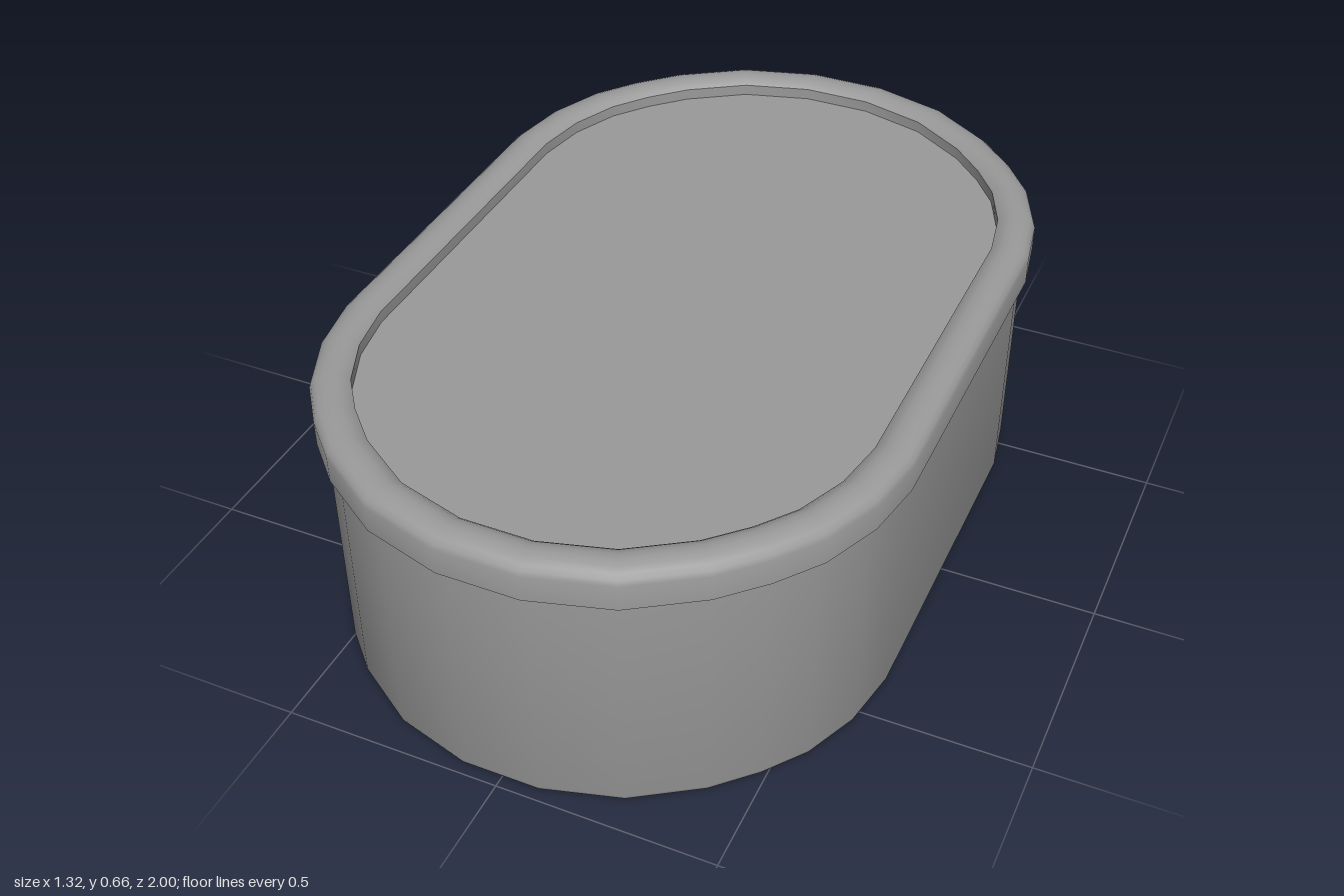
import * as THREE from 'three';
import { toCreasedNormals } from 'three/addons/utils/BufferGeometryUtils.js';

// One quarter of the faceted oval outline [x, z]
const quarter = [[0.66, 0.4], [0.635, 0.54], [0.579, 0.67], [0.507, 0.765], [0.42, 0.852], [0.272, 0.949], [0.092, 1]];
const flip = (sx, sz) => quarter.map(([x, z]) => [x * sx, z * sz]);
const outline = [
  ...quarter, ...flip(-1, 1).reverse(), ...flip(-1, -1), ...flip(1, -1).reverse(),
].map(([x, z]) => new THREE.Vector2(x, z));

// Mitred outward direction at each outline corner
const mitres = outline.map((p, i) => {
  const n = outline.length;
  const normal = (a, b) => new THREE.Vector2(b.y - a.y, a.x - b.x).normalize();
  const n1 = normal(outline[(i + n - 1) % n], p);
  const n2 = normal(p, outline[(i + 1) % n]);
  return n1.clone().add(n2).divideScalar(1 + n1.dot(n2));
});

// Sweeps a profile of [inset, y] round the outline; an inset of null closes at the centre
function ovalSweep(profile) {
  const n = outline.length, positions = [], index = [];
  for (const [inset, y] of profile) {
    outline.forEach((p, i) => {
      if (inset === null) positions.push(0, y, 0);
      else positions.push(p.x - mitres[i].x * inset, y, p.y - mitres[i].y * inset);
    });
  }
  for (let r = 0; r < profile.length - 1; r++) {
    for (let i = 0; i < n; i++) {
      const a = r * n + i, b = r * n + (i + 1) % n;
      if (profile[r + 1][0] !== null) index.push(a, a + n, b + n);
      if (profile[r][0] !== null) index.push(a, b + n, b);
    }
  }
  const geometry = new THREE.BufferGeometry();
  geometry.setAttribute('position', new THREE.Float32BufferAttribute(positions, 3));
  geometry.setIndex(index);
  return toCreasedNormals(geometry, THREE.MathUtils.degToRad(40));
}

export function createModel() {
  const group = new THREE.Group();
  group.name = 'ovalTin';
  const material = new THREE.MeshStandardMaterial({ color: 0x9a9a9a });
  const add = (name, profile) => {
    const mesh = new THREE.Mesh(ovalSweep(profile), material);
    mesh.name = name;
    group.add(mesh);
  };

  // Body: flat base, small rounded bottom edge, straight wall
  add('body', [[null, 0], [0.038, 0], [0.029, 0.003], [0.023, 0.009], [0.02, 0.018], [0.02, 0.6]]);

  // Lid: overhanging skirt, rounded rim, recessed top panel
  add('lid', [
    [0.02, 0.567], [0, 0.567], [0, 0.626], [0.004, 0.638], [0.014, 0.647], [0.028, 0.653], [0.044, 0.656],
    [0.06, 0.655], [0.076, 0.65], [0.087, 0.641], [0.087, 0.614], [null, 0.614],
  ]);
  return group;
}
